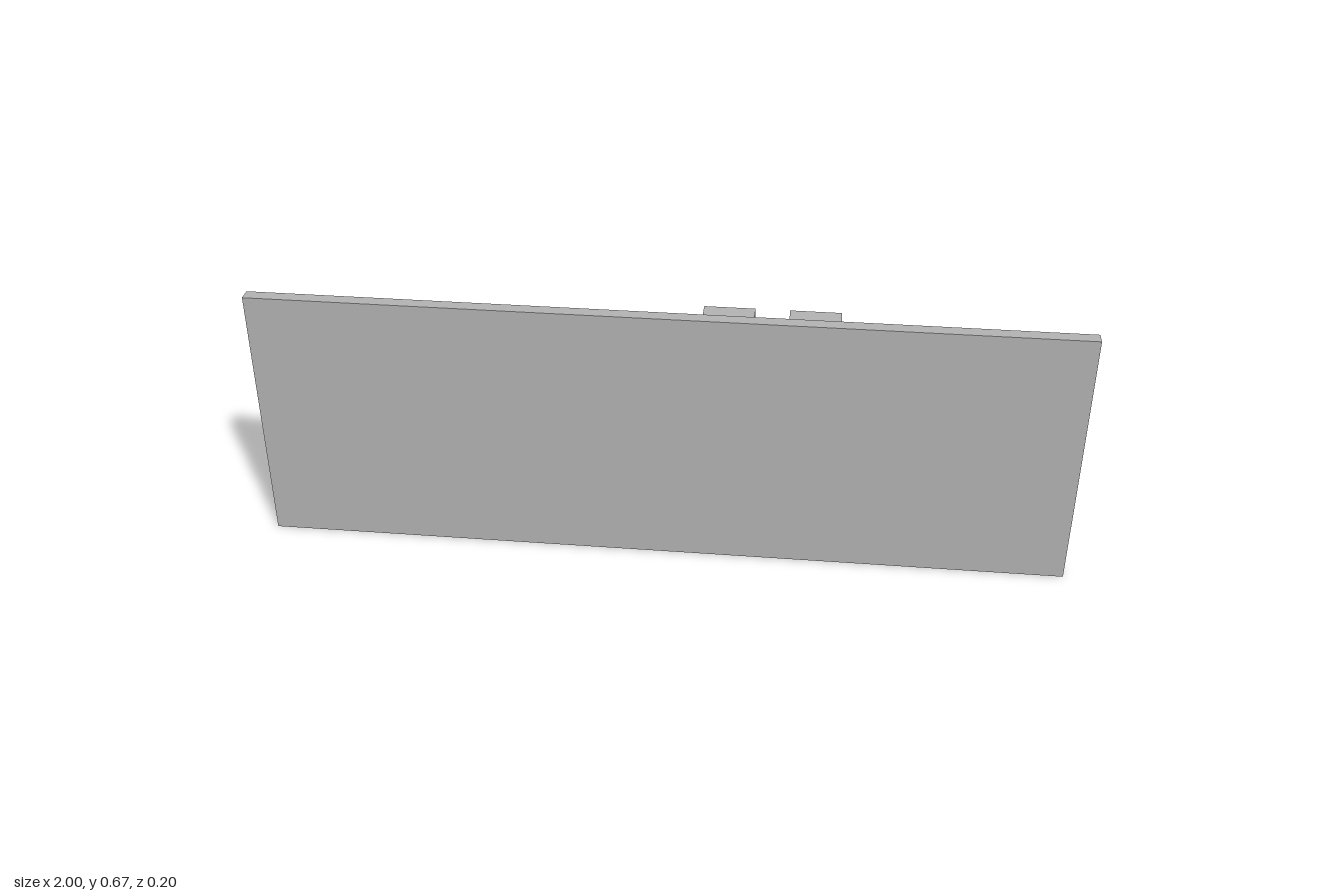
import * as THREE from 'three';
import { toCreasedNormals } from 'three/addons/utils/BufferGeometryUtils.js';

const PLATE_BACK = 0.067;

export function createModel() {
  const model = new THREE.Group();
  const grey = new THREE.MeshStandardMaterial({ color: 0xb2b2b2 });
  grey.name = 'plain grey';

  const add = (parent, name, geometry, x = 0, y = 0, z = 0) => {
    const mesh = new THREE.Mesh(geometry, grey);
    mesh.name = name;
    mesh.position.set(x, y, z);
    parent.add(mesh);
  };
  const group = (name) => {
    const g = new THREE.Group();
    g.name = name;
    model.add(g);
    return g;
  };
  const extrude = (shape, depth) => toCreasedNormals(
    new THREE.ExtrudeGeometry(shape, { depth, bevelEnabled: false, curveSegments: 40 }), 0.5);
  const polygon = (points) => new THREE.Shape(points.map(([x, y]) => new THREE.Vector2(x, y)));

  // Flat front plate
  add(model, 'plate', new THREE.BoxGeometry(2, 0.667, 0.033), 0, 0.3335, 0.0835);

  // Round socket with a recessed floor and four pins
  const socket = group('roundSocket');
  const ring = new THREE.Shape().absarc(0, 0, 0.125, 0, Math.PI * 2);
  ring.holes.push(new THREE.Path().absarc(0, 0, 0.105, 0, Math.PI * 2, true));
  add(socket, 'socketRing', extrude(ring, 0.1), 0.708, 0.333, -0.033);
  const disc = (r, length) => new THREE.CylinderGeometry(r, r, length, 32).rotateX(Math.PI / 2);
  add(socket, 'socketFloor', disc(0.106, 0.058), 0.708, 0.333, 0.038);
  for (let i = 0; i < 4; i++) {
    const a = i * Math.PI / 2;
    add(socket, 'socketPin', disc(0.01, 0.04),
      0.708 + 0.065 * Math.cos(a), 0.333 + 0.065 * Math.sin(a), -0.011);
  }

  // Tall holder: stepped half-round channel, open at the back and below
  const holder = group('channelHolder');
  const halfWidth = 0.167, back = 0.1;
  const channel = (r) => {
    const s = new THREE.Shape();
    s.moveTo(-halfWidth, back);
    s.lineTo(-halfWidth, -PLATE_BACK);
    s.lineTo(halfWidth, -PLATE_BACK);
    s.lineTo(halfWidth, back);
    s.lineTo(r, back);
    s.absarc(0, back, r, 0, Math.PI, true);
    s.closePath();
    return s;
  };
  const slottedTop = polygon([
    [-halfWidth, back], [-halfWidth, -PLATE_BACK], [halfWidth, -PLATE_BACK], [halfWidth, back],
    [0.042, back], [0.042, -0.015], [-0.042, -0.015], [-0.042, back],
  ]);
  const layers = [
    ['lowerChannel', channel(0.117), 0.067, 0.36],
    ['upperChannel', channel(0.141), 0.36, 0.575],
    ['slottedTop', slottedTop, 0.575, 0.6],
  ];
  for (const [name, shape, y0, y1] of layers) {
    add(holder, name, extrude(shape, y1 - y0).rotateX(-Math.PI / 2), 0.25, y0, 0);
  }

  // Rectangular frames with a gap in the bottom wall
  const frame = (name, x, w, h, gap, wall) => {
    const a = w / 2, b = h / 2, g = gap / 2;
    const shape = polygon([
      [g, -b], [a, -b], [a, b], [-a, b], [-a, -b], [-g, -b], [-g, -b + wall],
      [-a + wall, -b + wall], [-a + wall, b - wall], [a - wall, b - wall],
      [a - wall, -b + wall], [g, -b + wall],
    ]);
    add(model, name, extrude(shape, 0.134), x, 0.333, -0.067);
  };
  frame('squareFrame', -0.292, 0.417, 0.417, 0.08, 0.033);
  frame('smallFrame', -0.75, 0.167, 0.267, 0.042, 0.033);

  return model;
}
